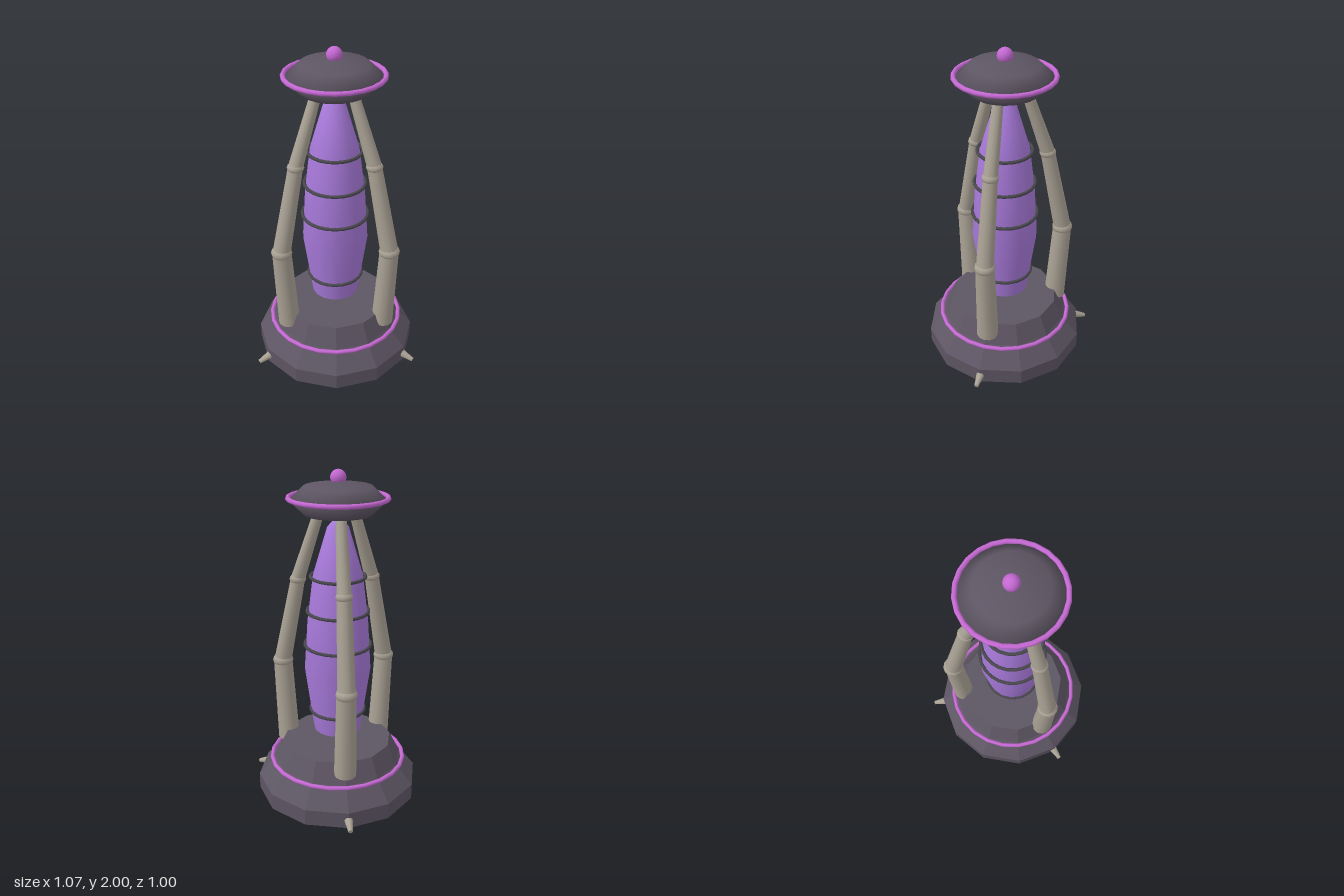
import * as THREE from 'three';
import { toCreasedNormals } from 'three/addons/utils/BufferGeometryUtils.js';

const mat = (name, color) => new THREE.MeshStandardMaterial({ name, color });

export function createModel() {
  const stone = mat('darkStone', 0x5d5563);
  const iron = mat('darkIron', 0x48474c);
  const crystal = mat('violetCrystal', 0xa678d8);
  const glow = mat('pinkGlow', 0xc468d2);
  const bone = mat('bone', 0xa9a194);

  const root = new THREE.Group();
  root.name = 'crystalTower';
  const tower = new THREE.Group();
  tower.name = 'tower';
  tower.position.x = -0.04;
  root.add(tower);

  const add = (parent, name, geometry, material, x = 0, y = 0, z = 0) => {
    const mesh = new THREE.Mesh(geometry, material);
    mesh.name = name;
    mesh.position.set(x, y, z);
    parent.add(mesh);
    return mesh;
  };
  const lathe = (points, sides) =>
    new THREE.LatheGeometry(points.map(([r, y]) => new THREE.Vector2(r, y)), sides);
  const ring = (name, radius, tube, y, material) =>
    add(tower, name, new THREE.TorusGeometry(radius, tube, 8, 24).rotateX(Math.PI / 2), material, 0, y);
  // Tapered rod between two points in the xy plane
  const rod = (parent, name, [x0, y0], [x1, y1], r0, r1) => {
    const a = new THREE.Vector3(x0, y0, 0), b = new THREE.Vector3(x1, y1, 0);
    const dir = b.clone().sub(a);
    const mesh = add(parent, name, new THREE.CylinderGeometry(r1, r0, dir.length(), 12), bone);
    mesh.position.copy(a).add(b).multiplyScalar(0.5);
    mesh.quaternion.setFromUnitVectors(new THREE.Vector3(0, 1, 0), dir.normalize());
    return mesh;
  };

  // Twelve-sided stepped base with flat faces
  const base = lathe([[0, 0], [0.5, 0], [0.5, 0.1], [0.395, 0.22], [0.335, 0.34], [0, 0.34]], 12).toNonIndexed();
  base.computeVertexNormals();
  add(tower, 'base', base, stone);
  ring('baseRing', 0.414, 0.013, 0.217, glow);

  // Crystal core and its bands
  const core = lathe([[0, 0.34], [0.145, 0.41], [0.2, 0.81], [0.18, 1.12], [0.145, 1.4], [0.062, 1.68], [0.03, 1.715], [0, 1.725]], 16);
  add(tower, 'core', toCreasedNormals(core, 0.6), crystal);
  [[0.54, 0.167], [0.97, 0.198], [1.18, 0.182], [1.39, 0.161]].forEach(([y, r]) =>
    ring('coreBand', r, 0.01, y, iron));

  // Three jointed legs with a claw below each
  for (let i = 0; i < 3; i++) {
    const leg = new THREE.Group();
    leg.name = 'leg';
    leg.rotation.y = (i * Math.PI * 2) / 3;
    tower.add(leg);
    const foot = [0.34, 0.27], knee = [0.37, 0.805], elbow = [0.257, 1.345], top = [0.115, 1.76];
    rod(leg, 'lowerLeg', foot, knee, 0.067, 0.058);
    rod(leg, 'middleLeg', knee, elbow, 0.054, 0.043);
    rod(leg, 'upperLeg', elbow, top, 0.043, 0.031);
    [[knee, 0.064], [elbow, 0.05]].forEach(([[x, y], r]) => {
      const joint = add(leg, 'legJoint', new THREE.SphereGeometry(r, 12, 8), bone, x, y);
      joint.scale.y = 0.7;
    });
    rod(leg, 'claw', [0.45, 0.06], [0.567, 0.024], 0.032, 0.013);
  }

  // Flattened cap, its rim and the ball on top
  const cap = add(tower, 'cap', new THREE.SphereGeometry(0.275, 24, 4), stone, 0, 1.83);
  cap.scale.y = 0.4;
  ring('capRing', 0.282, 0.014, 1.843, glow);
  add(tower, 'topBall', new THREE.SphereGeometry(0.045, 16, 12), glow, 0, 1.955);

  return root;
}
